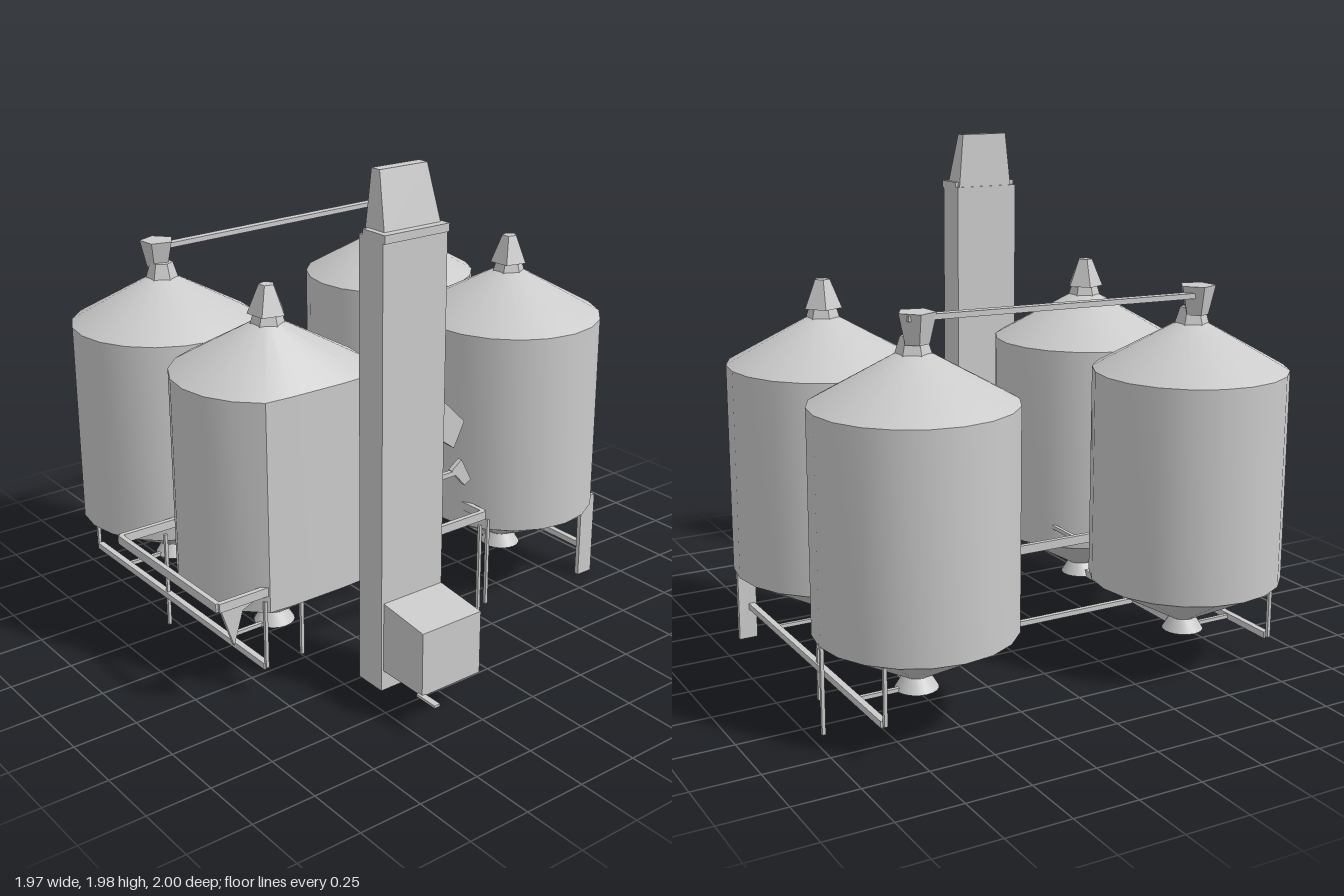
import * as THREE from 'three';
import { toCreasedNormals } from 'three/addons/utils/BufferGeometryUtils.js';

const smooth = new THREE.MeshStandardMaterial({ color: 0xcccccc, side: THREE.DoubleSide });
const flat = new THREE.MeshStandardMaterial({ color: 0xcccccc, side: THREE.DoubleSide, flatShading: true });
const V = (x, y, z) => new THREE.Vector3(x, y, z);

export function createModel() {
  const root = new THREE.Group();

  function add(name, geo, mat = flat, parent = root) {
    const m = new THREE.Mesh(geo, mat);
    m.name = name;
    parent.add(m);
    return m;
  }

  // Box given by its lower and upper corners
  function box(name, x0, x1, y0, y1, z0, z1) {
    const m = add(name, new THREE.BoxGeometry(x1 - x0, y1 - y0, z1 - z0));
    m.position.set((x0 + x1) / 2, (y0 + y1) / 2, (z0 + z1) / 2);
    return m;
  }

  // Square bar between two points
  function bar(name, a, b, w, h = w) {
    const m = add(name, new THREE.BoxGeometry(w, h, a.distanceTo(b)));
    m.position.copy(a).lerp(b, 0.5);
    m.lookAt(b);
    return m;
  }

  // Flat plate cut from an outline in the x-y plane
  function plate(name, pts, z, depth) {
    const shape = new THREE.Shape(pts.map(p => new THREE.Vector2(...p)));
    const m = add(name, new THREE.ExtrudeGeometry(shape, { depth, bevelEnabled: false }));
    m.position.z = z;
  }

  // Silo: outlet, hopper, wall and conical roof in one turned profile
  const profile = [[0, 0.15], [0.08, 0.15], [0.05, 0.2], [0.37, 0.375], [0.37, 1.19], [0.06, 1.365], [0, 1.37]]
    .map(p => new THREE.Vector2(...p));

  function silo(x, z, scaleZ, maxZ, back) {
    const g = new THREE.Group();
    g.name = 'silo';
    g.position.set(x, 0, z);
    root.add(g);
    const geo = new THREE.LatheGeometry(profile, 20);
    const p = geo.attributes.position;
    for (let i = 0; i < p.count; i++) p.setZ(i, Math.min(p.getZ(i) * scaleZ, maxZ - z));
    add('siloBody', toCreasedNormals(geo, 0.5), smooth, g);
    // Roof cap: neck below, hood above
    const neck = add('roofNeck', new THREE.CylinderGeometry(0.045, 0.07, 0.08, 6), flat, g);
    neck.position.y = 1.385;
    const hood = add('roofHood', new THREE.CylinderGeometry(back ? 0.07 : 0.03, back ? 0.045 : 0.075, 0.11, 5), flat, g);
    hood.position.set(0, 1.455, back ? -0.025 : 0);
    hood.rotation.y = 0.4;
  }
  silo(-0.55, -0.63, 1, 1, true);
  silo(0.612, -0.63, 1, 1, true);
  silo(-0.55, 0.115, 1, 0.42, false);
  silo(0.612, 0.145, 1.05, 1, false);

  // Overhead conveyor joining the back silos
  bar('overheadConveyor', V(-0.56, 1.475, -0.675), V(0.66, 1.495, -0.675), 0.035, 0.02);

  // Elevator tower with its tapering head
  box('elevatorTower', -0.48, -0.2, 0.08, 1.78, 0.57, 0.7);
  const head = new THREE.BoxGeometry(0.25, 0.23, 0.11);
  const hp = head.attributes.position;
  for (let i = 0; i < hp.count; i++) if (hp.getY(i) > 0) {
    hp.setX(i, hp.getX(i) * 0.82);
    hp.setZ(i, hp.getZ(i) * 0.4 - 0.025);
  }
  head.computeVertexNormals();
  add('elevatorHead', head).position.set(-0.335, 1.885, 0.63);
  box('headCollar', -0.48, -0.2, 1.77, 1.8, 0.59, 0.71);

  // Intake hopper at the foot of the tower, with a top that slopes forward
  const side = new THREE.Shape([[-0.7, 0.16], [-0.92, 0.16], [-0.92, 0.41], [-0.7, 0.435]]
    .map(p => new THREE.Vector2(...p)));
  const intake = add('intakeHopper', new THREE.ExtrudeGeometry(side, { depth: 0.27, bevelEnabled: false }));
  intake.rotation.y = Math.PI / 2;
  intake.position.x = -0.47;
  box('intakeLip', -0.48, -0.455, 0.155, 0.165, 0.9, 1.0);

  // Raised rail round the front left of the site
  const railY = 0.46;
  const corners = [[-0.98, 0.4], [0.28, 0.4], [0.26, -0.3], [-0.98, -0.3], [-0.98, 0.4]];
  for (let i = 0; i < 4; i++) {
    const [a, b] = [corners[i], corners[i + 1]];
    bar('guardRail', V(a[0], railY, a[1]), V(b[0], railY, b[1]), 0.02, 0.035);
  }
  plate('railBracket', [[-0.98, 0.47], [-0.76, 0.47], [-0.88, 0.42], [-0.92, 0.29]], 0.39, 0.015);
  bar('crossRail', V(-0.27, railY, -0.3), V(-0.27, railY, 0.4), 0.015);

  // Ground frame under the silos
  for (const x of [-0.78, 0.85]) bar('groundRail', V(x, 0.155, 0.4), V(x, 0.155, -0.86), 0.025);
  for (const x of [-0.55, 0.612]) bar('dischargePipe', V(x, 0.16, 0.13), V(x, 0.16, -0.63), 0.03);
  bar('groundRail', V(-0.55, 0.155, -0.3), V(0.612, 0.155, -0.3), 0.02);
  for (const z of [0.13, -0.63]) for (const x of [-0.78, 0.85])
    bar('groundBrace', V(x, 0.155, z), V(x < 0 ? -0.55 : 0.612, 0.155, z), 0.015);

  // Legs
  box('wideLeg', 0.83, 0.905, 0.02, 0.38, 0.39, 0.41);
  const legs = [[-0.78, 0.4, 0.15], [-0.62, 0.4, 0.15], [0.26, 0.4, 0.02], [0.32, 0.38, 0.04],
    [-0.78, -0.3, 0.02], [0.85, -0.3, 0.02], [0.27, -0.3, 0.04], [-0.78, -0.87, 0.15], [0.85, -0.87, 0.15],
    [0.975, -0.63, 0.05]];
  for (const [x, z, y0] of legs) bar('leg', V(x, y0, z), V(x, 0.42, z), 0.013);

  // Control shelter plate with its post and arm
  plate('shelterRoof', [[-0.1, 0.92], [-0.08, 0.78], [0.02, 0.86], [0.1, 0.8], [0.15, 0.9], [0.03, 1.02]], 0.375, 0.04);
  bar('shelterPost', V(-0.08, 0.46, 0.395), V(-0.08, 0.8, 0.395), 0.02);
  bar('shelterArm', V(-0.08, 0.685, 0.395), V(0.14, 0.685, 0.395), 0.02);
  plate('shelterArmEnd', [[0.1, 0.7], [0.17, 0.62], [0.2, 0.64], [0.15, 0.735]], 0.385, 0.02);
  return root;
}
